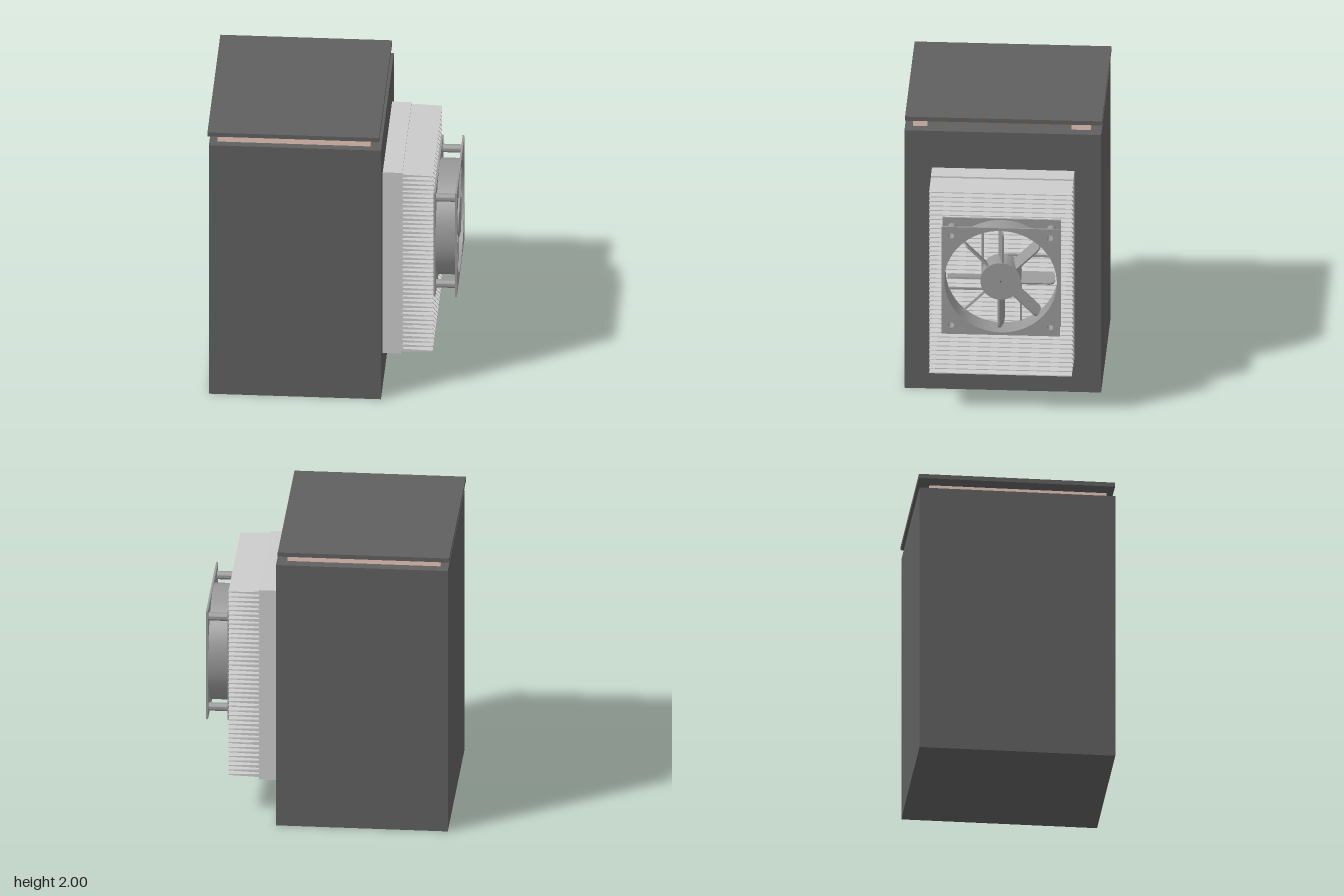
import * as THREE from 'three';
import { mergeGeometries, toCreasedNormals } from 'three/addons/utils/BufferGeometryUtils.js';

const material = (color) => new THREE.MeshStandardMaterial({ color });
const dark = material(0x606060);
const metal = material(0xcccccc);
const fanGrey = material(0x999999);
const pink = material(0xe8c8ba);
const gold = material(0xa87410);

function add(parent, name, geometry, mat) {
  const mesh = new THREE.Mesh(geometry, mat);
  mesh.name = name;
  parent.add(mesh);
  return mesh;
}

// Box given by its lower and upper limits on each axis
function slab(x0, x1, y0, y1, z0, z1) {
  return new THREE.BoxGeometry(x1 - x0, y1 - y0, z1 - z0)
    .translate((x0 + x1) / 2, (y0 + y1) / 2, (z0 + z1) / 2);
}

const extrude = (shape, depth) =>
  new THREE.ExtrudeGeometry(shape, { depth, bevelEnabled: false, curveSegments: 32 });

// Tube with a rectangular wall section, axis along z
function ring(inner, outer, z0, z1) {
  const profile = [[inner, z0], [outer, z0], [outer, z1], [inner, z1], [inner, z0]]
    .map(([r, z]) => new THREE.Vector2(r, z));
  return toCreasedNormals(new THREE.LatheGeometry(profile, 64).rotateX(Math.PI / 2), 0.6);
}

function createHeatSink() {
  const sink = new THREE.Group();
  sink.name = 'heatSink';
  add(sink, 'heatSinkBase', slab(0.33, 0.462, 0.25, 1.635, -0.475, 0.475), metal);

  // Tapered fins, thick at the base and thin at the tip
  const profile = new THREE.Shape([
    [0.455, -0.011], [0.55, -0.007], [0.665, -0.003],
    [0.665, 0.003], [0.55, 0.007], [0.455, 0.011],
  ].map(([x, y]) => new THREE.Vector2(x, y)));
  const fins = [];
  const count = 41;
  for (let i = 0; i < count; i++) {
    const y = 0.278 + (1.335 * i) / (count - 1);
    fins.push(extrude(profile, 0.95).translate(0, y, -0.475));
  }
  add(sink, 'coolingFins', mergeGeometries(fins), metal);
  return sink;
}

function createFan() {
  // Built facing +z, then turned to face +x
  const fan = new THREE.Group();
  fan.name = 'fan';
  const half = 0.395, depth = 0.155, flange = 0.013, post = 0.33;
  const corners = [[-post, -post], [post, -post], [post, post], [-post, post]];

  // Square flanges with the air opening and four screw holes
  const plate = new THREE.Shape([[-half, -half], [half, -half], [half, half], [-half, half]]
    .map(([x, y]) => new THREE.Vector2(x, y)));
  const hole = (x, y, r) => plate.holes.push(new THREE.Path().absarc(x, y, r, 0, Math.PI * 2, true));
  hole(0, 0, 0.375);
  corners.forEach(([x, y]) => hole(x, y, 0.02));
  add(fan, 'backFlange', extrude(plate, flange), fanGrey);
  add(fan, 'frontFlange', extrude(plate, flange), fanGrey).position.z = depth - flange;

  // Round shroud and hollow corner posts between the flanges
  add(fan, 'shroud', ring(0.375, 0.388, 0.002, depth - 0.002), fanGrey);
  for (const [x, y] of corners) {
    add(fan, 'cornerPost', ring(0.02, 0.028, flange, depth - flange), fanGrey).position.set(x, y, 0);
  }

  // Hub with a small centre mark
  const disc = (r, z0, z1) => new THREE.CylinderGeometry(r, r, z1 - z0, 48)
    .rotateX(Math.PI / 2).translate(0, 0, (z0 + z1) / 2);
  add(fan, 'hub', disc(0.135, 0.005, 0.152), fanGrey);
  add(fan, 'hubPin', disc(0.006, 0.15, 0.154), dark);

  // Pitched blades with rounded tips
  const chord = 0.06, tip = 0.358, round = 0.04;
  const outline = new THREE.Shape();
  outline.moveTo(0.12, -chord);
  outline.lineTo(tip - round, -chord);
  outline.quadraticCurveTo(tip, -chord, tip, -chord + round);
  outline.lineTo(tip, chord - round);
  outline.quadraticCurveTo(tip, chord, tip - round, chord);
  outline.lineTo(0.12, chord);
  const blade = extrude(outline, 0.012).translate(0, 0, -0.006)
    .rotateX(Math.PI / 2 + 0.25).translate(0, 0, 0.085);
  for (let i = 0; i < 8; i++) {
    add(fan, 'blade', blade, fanGrey).rotation.z = (i * Math.PI) / 4;
  }

  // Struts running tangentially from the hub to the shroud
  for (let i = 0; i < 4; i++) {
    add(fan, 'strut', slab(-0.135, -0.12, 0, 0.36, 0.002, 0.014), fanGrey).rotation.z = (i * Math.PI) / 2;
  }

  fan.rotation.y = Math.PI / 2;
  fan.position.set(0.665, 1.04, -0.01);
  return fan;
}

export function createModel() {
  const model = new THREE.Group();
  model.name = 'cooledCabinet';

  // Cabinet and its raised lid
  add(model, 'cabinet', slab(-0.815, 0.332, 0, 1.905, -0.652, 0.658), dark);
  add(model, 'lid', slab(-0.825, 0.32, 1.97, 2, -0.657, 0.655), dark);

  // Spacer strips on three sides under the lid, open to the heat sink side
  const strips = new THREE.Group();
  strips.name = 'spacerStrips';
  add(strips, 'frontStrip', slab(-0.76, 0.26, 1.905, 1.95, 0.51, 0.605), pink);
  add(strips, 'backStrip', slab(-0.76, 0.26, 1.905, 1.95, -0.58, -0.45), pink);
  add(strips, 'sideStrip', slab(-0.76, -0.64, 1.905, 1.95, -0.45, 0.51), pink);
  model.add(strips);

  add(model, 'lidInnerPanel', slab(-0.565, 0.255, 1.937, 1.97, -0.44, 0.44), gold);

  model.add(createHeatSink(), createFan());
  return model;
}
